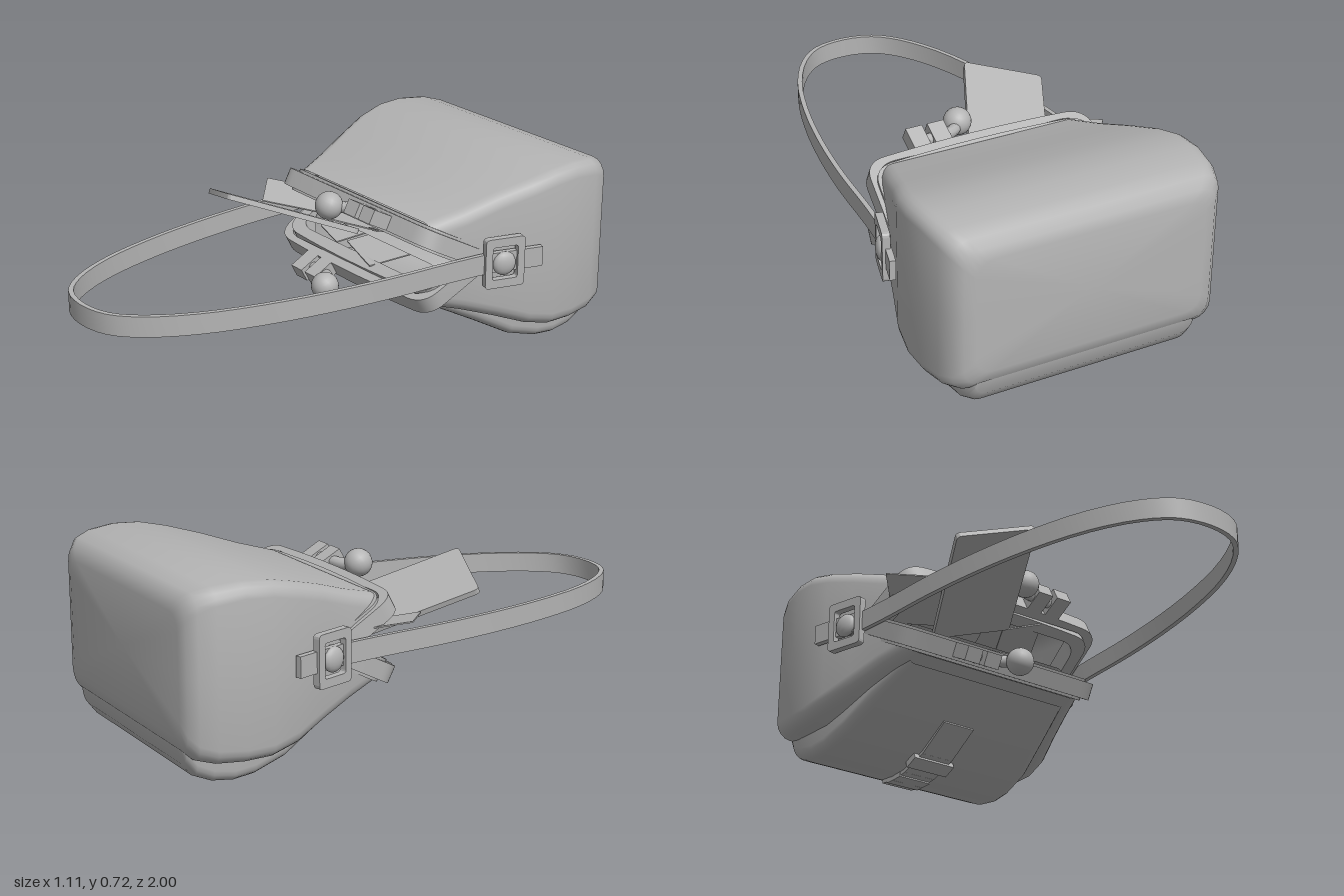
import * as THREE from 'three';
import { toCreasedNormals } from 'three/addons/utils/BufferGeometryUtils.js';

const grey = new THREE.MeshStandardMaterial({ color: 0xb4b4b4, side: THREE.DoubleSide });
grey.name = 'grey';

function add(parent, name, geo, x = 0, y = 0, z = 0) {
  const m = new THREE.Mesh(geo, grey);
  m.name = name;
  m.position.set(x, y, z);
  parent.add(m);
  return m;
}

// Rounded-rectangle ring with a mid point on each side; notch pulls the side points back
function ring({ z, w, y0, y1, r, notch = 0 }) {
  const pts = [], mid = (y0 + y1) / 2, n = 4;
  const corner = (cx, cy, a0) => {
    for (let i = 0; i <= n; i++) {
      const a = a0 + (i / n) * Math.PI / 2;
      pts.push([cx + r * Math.cos(a), cy + r * Math.sin(a), z]);
    }
  };
  pts.push([w + notch * 0.3, mid, z - notch]);
  corner(w - r, y1 - r, 0);
  corner(-w + r, y1 - r, Math.PI / 2);
  pts.push([-w - notch * 0.3, mid, z - notch]);
  corner(-w + r, y0 + r, Math.PI);
  corner(w - r, y0 + r, Math.PI * 1.5);
  return pts;
}

// Skin through rings running from back to front, closed at the back
function loft(sections) {
  const rings = sections.map(ring), n = rings[0].length, idx = [];
  const pos = rings.flat(2);
  const s0 = sections[0];
  pos.push(0, (s0.y0 + s0.y1) / 2, s0.z);
  const c = rings.length * n;
  for (let j = 0; j < n; j++) {
    const k = (j + 1) % n;
    idx.push(c, k, j);
    for (let i = 0; i < rings.length - 1; i++) {
      const a = i * n, b = a + n;
      idx.push(a + j, a + k, b + k, a + j, b + k, b + j);
    }
  }
  const g = new THREE.BufferGeometry();
  g.setAttribute('position', new THREE.Float32BufferAttribute(pos, 3));
  g.setIndex(idx);
  return toCreasedNormals(g, 0.75);
}

// Flat outline (x, z) given a vertical thickness, centred on y = 0
function slab(shape, height) {
  const g = new THREE.ExtrudeGeometry(shape, { depth: height, bevelEnabled: false, curveSegments: 8 });
  g.translate(0, 0, -height / 2).rotateX(Math.PI / 2);
  return toCreasedNormals(g, 0.6);
}

function roundedRect(w, h, r) {
  const s = new THREE.Shape(), x = w / 2, y = h / 2;
  s.moveTo(-x + r, -y);
  s.lineTo(x - r, -y); s.quadraticCurveTo(x, -y, x, -y + r);
  s.lineTo(x, y - r); s.quadraticCurveTo(x, y, x - r, y);
  s.lineTo(-x + r, y); s.quadraticCurveTo(-x, y, -x, y - r);
  s.lineTo(-x, -y + r); s.quadraticCurveTo(-x, -y, -x + r, -y);
  return s;
}

// One jaw of the mouth with its ball clasp, built around the hinge line
function jaw(name) {
  const g = new THREE.Group();
  g.name = name;
  const band = (o, i, front, t) => {
    const s = new THREE.Shape();
    s.moveTo(-o, 0.02);
    s.lineTo(-o + 0.015, front - 0.09);
    s.quadraticCurveTo(-o + 0.02, front - 0.015, -o + 0.1, front - 0.01);
    s.quadraticCurveTo(0, front + 0.01, o - 0.1, front - 0.01);
    s.quadraticCurveTo(o - 0.02, front - 0.015, o - 0.015, front - 0.09);
    s.lineTo(o, 0.02);
    s.lineTo(i, 0.02);
    s.lineTo(i - 0.015, front - t - 0.08);
    s.quadraticCurveTo(i - 0.02, front - t, i - 0.1, front - t);
    s.lineTo(-i + 0.1, front - t);
    s.quadraticCurveTo(-i + 0.02, front - t, -i + 0.015, front - t - 0.08);
    s.lineTo(-i, 0.02);
    return s;
  };
  add(g, 'mouthFrame', slab(band(0.46, 0.43, 0.305, 0.035), 0.065));
  add(g, 'frameLip', slab(band(0.445, 0.4, 0.27, 0.05), 0.085));
  for (const x of [0.118, 0.203]) add(g, 'claspBlock', new THREE.BoxGeometry(0.065, 0.055, 0.11), x, -0.005, 0.335);
  const path = new THREE.CatmullRomCurve3([
    new THREE.Vector3(0.2, -0.005, 0.34), new THREE.Vector3(0.1, -0.005, 0.345),
    new THREE.Vector3(0.05, -0.015, 0.36), new THREE.Vector3(0.01, -0.03, 0.4)]);
  add(g, 'claspStem', new THREE.TubeGeometry(path, 12, 0.022, 10));
  add(g, 'claspBall', new THREE.SphereGeometry(0.052, 20, 14), 0.012, -0.03, 0.402);
  g.rotation.x = -0.49;
  return g;
}

// Card from one corner, its edge direction and its depth direction
function card(parent, name, corner, u, v, w, d, t, r) {
  const U = new THREE.Vector3(...u).normalize();
  const N = new THREE.Vector3(...v).cross(U).normalize();
  const V = new THREE.Vector3().crossVectors(U, N).normalize();
  const m = add(parent, name, slab(roundedRect(w, d, r), t));
  const c = new THREE.Vector3(...corner).addScaledVector(U, w / 2);
  const side = Math.sign(V.dot(new THREE.Vector3(...v)));
  c.addScaledVector(V, side * d / 2);
  m.quaternion.setFromRotationMatrix(new THREE.Matrix4().makeBasis(U, N, V));
  m.position.copy(c);
}

export function createModel() {
  const bag = new THREE.Group();
  bag.name = 'handbag';

  // Soft body, open at the front
  const S = (z, w, y0, y1, r, notch) => ({ z, w, y0, y1, r, notch });
  add(bag, 'body', loft([
    S(-1, 0.43, 0.2, 0.63, 0.06), S(-0.99, 0.47, 0.16, 0.67, 0.06), S(-0.96, 0.5, 0.13, 0.7, 0.06),
    S(-0.9, 0.52, 0.115, 0.717, 0.055), S(-0.8, 0.533, 0.11, 0.725, 0.05), S(-0.7, 0.535, 0.112, 0.718, 0.05),
    S(-0.6, 0.52, 0.135, 0.695, 0.05), S(-0.48, 0.48, 0.18, 0.66, 0.05), S(-0.35, 0.44, 0.225, 0.615, 0.05),
    S(-0.22, 0.4, 0.262, 0.578, 0.05, 0.16)]));

  // Bulging pocket on the underside
  add(bag, 'pocket', loft([
    S(-0.99, 0.4, 0.17, 0.4, 0.05), S(-0.975, 0.425, 0.1, 0.4, 0.05), S(-0.94, 0.435, 0.055, 0.4, 0.05),
    S(-0.88, 0.44, 0.03, 0.4, 0.045), S(-0.8, 0.44, 0.02, 0.4, 0.04), S(-0.72, 0.435, 0.026, 0.4, 0.04),
    S(-0.6, 0.425, 0.062, 0.4, 0.04), S(-0.45, 0.4, 0.145, 0.4, 0.04), S(-0.27, 0.36, 0.24, 0.4, 0.03)]));

  // Pocket tab following the underside, with its clip
  const tab = [[-0.46, 0.14], [-0.6, 0.058], [-0.72, 0.02], [-0.8, 0.012], [-0.87, 0.022]];
  for (let i = 0; i < tab.length - 1; i++) {
    const [z0, y0] = tab[i], [z1, y1] = tab[i + 1];
    const m = add(bag, 'pocketTab', new THREE.BoxGeometry(0.136, 0.016, Math.hypot(z1 - z0, y1 - y0) + 0.005),
      0, (y0 + y1) / 2, (z0 + z1) / 2);
    m.rotation.x = Math.atan2(y1 - y0, z0 - z1);
  }
  const clip = add(bag, 'pocketClip', new THREE.BoxGeometry(0.18, 0.025, 0.06), 0, 0.036, -0.645);
  clip.rotation.x = -0.4;
  add(bag, 'pocketClipBase', new THREE.BoxGeometry(0.14, 0.02, 0.09), 0, 0.014, -0.79);

  // Mouth: the lower jaw is the upper one turned half round
  for (const [name, turn] of [['upperJaw', 0], ['lowerJaw', Math.PI]]) {
    const g = new THREE.Group();
    g.name = name;
    g.position.set(0, 0.418, -0.42);
    g.rotation.z = turn;
    g.add(jaw(name + 'Frame'));
    bag.add(g);
  }

  // Flat strap looping forward from side to side
  const half = [[0.485, -0.46], [0.465, -0.25], [0.45, 0], [0.42, 0.25], [0.37, 0.5], [0.3, 0.72], [0.21, 0.88], [0.12, 0.962]];
  const ctrl = [...half, [0, 0.988], ...half.slice().reverse().map(([x, z]) => [-x, z])];
  const curve = new THREE.CatmullRomCurve3(ctrl.map(([x, z]) => new THREE.Vector3(x, z, 0)));
  const outer = [], inner = [];
  for (let i = 0; i <= 48; i++) {
    const p = curve.getPoint(i / 48), t = curve.getTangent(i / 48);
    outer.push(new THREE.Vector2(p.x + t.y * 0.009, p.y - t.x * 0.009));
    inner.unshift(new THREE.Vector2(p.x - t.y * 0.009, p.y + t.x * 0.009));
  }
  add(bag, 'strap', slab(new THREE.Shape([...outer, ...inner]), 0.075), 0, 0.417, 0);

  // Buckles on both sides
  for (const s of [1, -1]) {
    const holder = new THREE.Group(), g = new THREE.Group();
    holder.name = s > 0 ? 'leftBuckle' : 'rightBuckle';
    holder.scale.x = s;
    g.position.set(0.495, 0.42, -0.47);
    g.rotation.y = -0.28;
    const frame = roundedRect(0.155, 0.19, 0.015);
    frame.holes.push(roundedRect(0.1, 0.125, 0.01));
    const fg = new THREE.ExtrudeGeometry(frame, { depth: 0.028, bevelEnabled: false, curveSegments: 3 });
    add(g, 'buckleFrame', fg.rotateY(Math.PI / 2));
    add(g, 'buckleTab', new THREE.BoxGeometry(0.022, 0.075, 0.21), 0.006, 0, -0.05);
    const knob = add(g, 'buckleKnob', new THREE.SphereGeometry(0.045, 16, 10), 0.018, -0.005, 0);
    knob.scale.x = 0.5;
    holder.add(g);
    bag.add(holder);
  }

  // Large card sticking out, and thin papers fanned inside
  card(bag, 'largeCard', [-0.455, 0.55, 0.165], [0.285, 0.08, 0.1], [0.14, -0.13, -0.325], 0.305, 0.52, 0.02, 0.02);
  card(bag, 'paper', [-0.535, 0.505, -0.165], [0.15, -0.02, 0.13], [0.2, -0.06, -0.22], 0.2, 0.3, 0.005, 0.004);
  card(bag, 'paper', [-0.22, 0.485, -0.16], [0.15, -0.005, 0.03], [0.03, -0.12, -0.3], 0.15, 0.28, 0.005, 0.004);
  card(bag, 'paper', [0.03, 0.46, -0.22], [0.13, 0.04, 0.05], [0.1, -0.06, -0.25], 0.16, 0.26, 0.005, 0.004);
  card(bag, 'paper', [-0.11, 0.36, -0.23], [0.22, -0.02, 0.06], [0.08, 0.04, -0.28], 0.22, 0.28, 0.005, 0.004);
  card(bag, 'paper', [-0.3, 0.36, -0.25], [0.15, -0.01, 0.04], [0.05, 0.05, -0.28], 0.16, 0.26, 0.005, 0.004);
  return bag;
}
